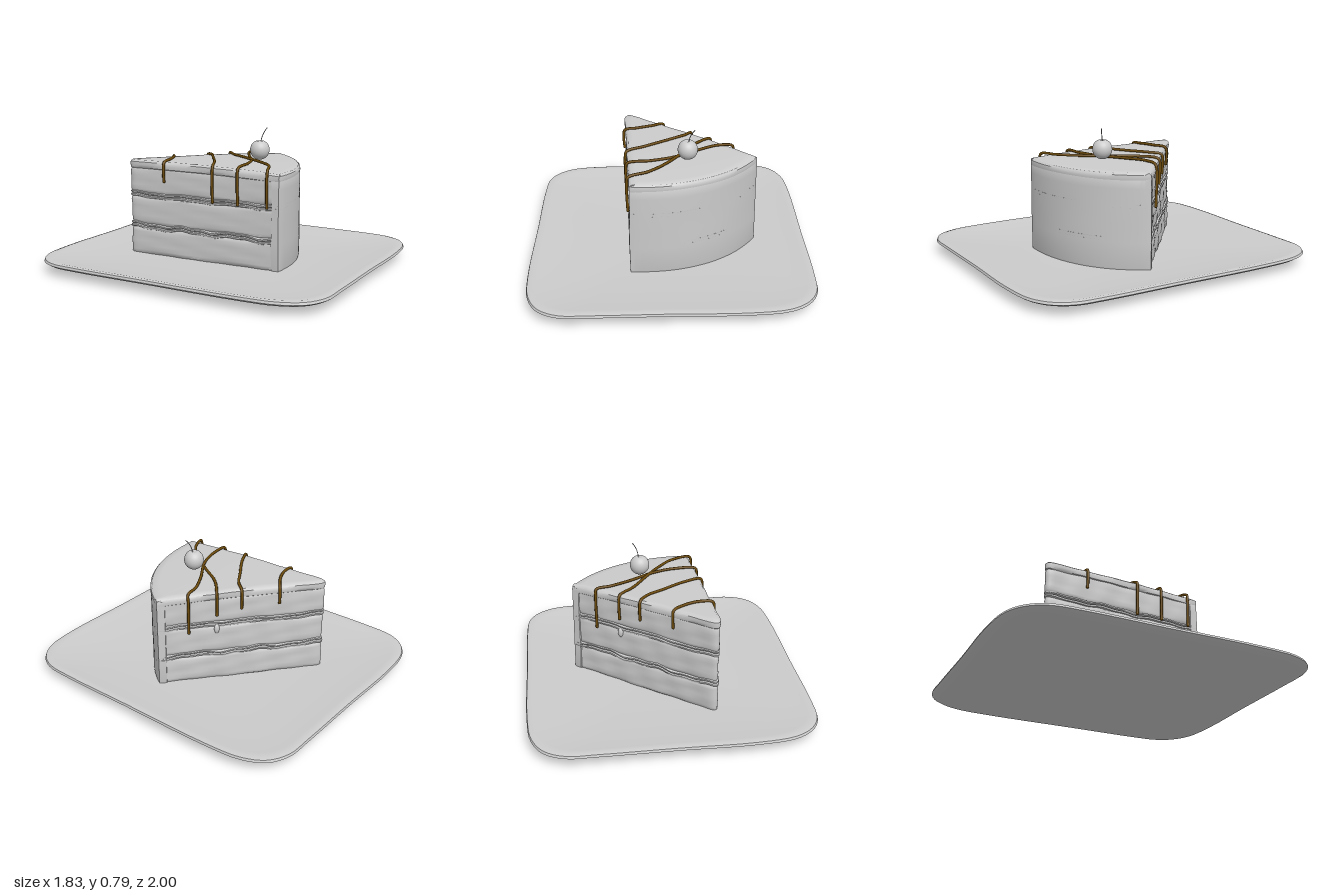
import * as THREE from 'three';
import { toCreasedNormals } from 'three/addons/utils/BufferGeometryUtils.js';

const grey = new THREE.MeshStandardMaterial({ color: 0xcccccc });
const syrup = new THREE.MeshStandardMaterial({ color: 0x6b4a0c });

// Virtual tip of the slice and the directions of its two cut sides
const TIP = new THREE.Vector2(-0.386, -0.469);
const ANGLE_A = THREE.MathUtils.degToRad(25.8);
const ANGLE_B = THREE.MathUtils.degToRad(73.6);
const dir = (a) => new THREE.Vector2(Math.cos(a), Math.sin(a));
const at = (r, a) => dir(a).multiplyScalar(r).add(TIP);

// Skin closed rings of equal length, listed from the bottom to the top
function loft(rings, crease = 0.7) {
  const n = rings[0].length, index = [];
  const pos = rings.flat().flatMap((p) => [p.x, p.y, p.z]);
  for (let i = 0; i < rings.length - 1; i++) {
    for (let j = 0; j < n; j++) {
      const k = (j + 1) % n, a = i * n + j, b = i * n + k;
      if (rings[i + 1][j].distanceTo(rings[i + 1][k]) > 1e-6) index.push(a + n, b + n, b);
      if (rings[i][j].distanceTo(rings[i][k]) > 1e-6) index.push(a, a + n, b);
    }
  }
  const geo = new THREE.BufferGeometry();
  geo.setAttribute('position', new THREE.Float32BufferAttribute(pos, 3));
  geo.setIndex(index);
  return toCreasedNormals(geo, crease);
}

function add(group, name, geometry, material = grey) {
  const mesh = new THREE.Mesh(geometry, material);
  mesh.name = name;
  group.add(mesh);
  return mesh;
}

// Slice outline as points with outward normals; `side` marks the cut faces
function sliceOutline(r0 = 0.08) {
  const out = [], N = 28, nA = dir(ANGLE_A - Math.PI / 2), nB = dir(ANGLE_B + Math.PI / 2);
  const p0 = at(r0, ANGLE_B), p1 = at(r0, ANGLE_A);
  const ctrl = r0 < 0.2 ? TIP : p0.clone().lerp(p1, 0.5);
  const nose = new THREE.QuadraticBezierCurve(p0, ctrl, p1);
  for (let i = 1; i < 8; i++) {
    out.push({ p: nose.getPoint(i / 8), n: nB.clone().lerp(nA, i / 8).normalize(), side: 1 });
  }
  for (let i = 0; i <= N; i++) out.push({ p: at(r0 + (0.982 - r0) * i / N, ANGLE_A), n: nA, side: 1 });
  for (let i = 1; i < N; i++) {
    const t = i / N, a = ANGLE_A + (ANGLE_B - ANGLE_A) * t;
    out.push({ p: at(0.982 + 0.03 * Math.sin(Math.PI * t), a), n: dir(a), side: 0 });
  }
  for (let i = N; i >= 0; i--) out.push({ p: at(r0 + (0.982 - r0) * i / N, ANGLE_B), n: nB, side: 1 });
  return out;
}

// Solid with the slice outline; rows are [height, outward offset]
function slice(rows, { r0, wave = 0, rough = 0, dome = 0 } = {}) {
  const outline = sliceOutline(r0);
  const mid = r0 ? new THREE.Vector2(0.25, 0.26) : new THREE.Vector2(0.02, 0.02);
  const ring = ([y, off], s = 1) => outline.map(({ p, n, side }) => {
    const u = p.x * 9 + p.y * 13;
    const push = off + rough * (side
      ? Math.sin(u * 1.7 + y * 31) * Math.cos(u * 0.8 - y * 47)
      : 0.5 * Math.sin(u * 0.9 + y * 14) * Math.cos(p.x * 11 - y * 9));
    const q = n.clone().multiplyScalar(push).add(p).sub(mid).multiplyScalar(s).add(mid);
    const drop = dome * Math.pow(q.distanceTo(TIP), 4);
    const lift = wave * side * (Math.sin(u * 1.3) + 0.6 * Math.sin(u * 2.9 + 1));
    return new THREE.Vector3(q.x, y + lift - drop, q.y);
  });
  const last = rows[rows.length - 1];
  return loft([ring(rows[0], 0), ...rows.map((r) => ring(r)),
    ...[0.9, 0.6, 0.3, 0].map((s) => ring(last, s))]);
}

// Shallow square plate with generous corners, turned on its axis
function plateGeometry() {
  const half = [[0.2, -0.965], [0.36, -1], [0.48, -0.97], [0.57, -0.87], [0.64, -0.68], [0.78, -0.12],
    [0.89, 0.32], [0.915, 0.48], [0.885, 0.59], [0.8, 0.68], [0.6, 0.76], [0.2, 0.86]];
  const pts = [...half, ...half.map(([x, z]) => [-x, -z])].map(([x, z]) => new THREE.Vector3(x, 0, z));
  const outline = new THREE.CatmullRomCurve3(pts, true).getPoints(96).slice(0, -1);
  const profile = [[0, 0], [0.4, 0.006], [0.7, 0.021], [0.9, 0.038], [0.98, 0.048], [1, 0.06],
    [0.995, 0.073], [0.975, 0.078], [0.94, 0.074], [0.8, 0.062], [0.5, 0.05], [0, 0.045]];
  return loft(profile.map(([s, y]) => outline.map((p) => new THREE.Vector3(p.x * s, y, p.z * s))), 0.9);
}

// Syrup line across the top that runs down both cut sides
function drizzle(points, endLeft, endRight) {
  const v = (p, y, a, out) => {
    const n = dir(a).multiplyScalar(out);
    return new THREE.Vector3(p[0] + n.x, y, p[1] + n.y);
  };
  const first = points[0], last = points[points.length - 1];
  const left = ANGLE_B + Math.PI / 2, right = ANGLE_A - Math.PI / 2;
  const path = new THREE.CatmullRomCurve3([
    v(first, endLeft, left, 0.01), v(first, 0.56, left, 0.014), v(first, 0.6, left, 0.006),
    ...points.slice(1, -1).map(([x, z]) => new THREE.Vector3(x, 0.61, z)),
    v(last, 0.6, right, 0.006), v(last, 0.56, right, 0.014), v(last, endRight, right, 0.01),
  ], false, 'centripetal');
  return [path, new THREE.TubeGeometry(path, 90, 0.008, 8)];
}

export function createModel() {
  const model = new THREE.Group();
  model.name = 'cakeSliceOnPlate';
  add(model, 'plate', plateGeometry());

  const cake = new THREE.Group();
  cake.name = 'cakeSlice';
  model.add(cake);

  // Three sponge layers
  for (const [y0, y1] of [[0.045, 0.21], [0.22, 0.395], [0.405, 0.57]]) {
    const rows = [[y0, -0.014], [y0 + 0.012, -0.003]];
    for (let i = 1; i < 6; i++) rows.push([y0 + (y1 - y0) * i / 6, 0]);
    rows.push([y1 - 0.012, -0.003], [y1, -0.014]);
    add(cake, 'spongeLayer', slice(rows, { rough: 0.004 }));
  }

  // Wavy cream fillings that squeeze out between the layers
  for (const [y, wave] of [[0.215, 0.007], [0.4, 0.004]]) {
    add(cake, 'creamFilling', slice([[y - 0.02, -0.012], [y - 0.014, 0.003], [y - 0.004, 0.005],
      [y, -0.004], [y + 0.006, 0.004], [y + 0.014, 0.005], [y + 0.022, -0.012]], { wave, rough: 0.003 }));
  }
  const blob = add(cake, 'creamDrop', new THREE.SphereGeometry(0.016, 14, 10));
  blob.scale.set(1, 1.8, 0.8);
  blob.position.set(0.2, 0.37, -0.186);

  // Icing over the top and around the curved back
  add(cake, 'topIcing', slice([[0.55, -0.008], [0.558, 0.003], [0.575, 0.006], [0.592, 0.003], [0.602, -0.01]],
    { rough: 0.003, dome: 0.018 }));
  add(cake, 'backIcing', slice([[0.045, 0], [0.06, 0.004], [0.2, 0.005], [0.3, 0.005], [0.4, 0.005],
    [0.5, 0.005], [0.57, 0.004], [0.582, -0.006]], { r0: 0.94, rough: 0.003 }));

  // Syrup lines with rounded ends
  const lines = [
    [[[-0.311, -0.21], [-0.25, -0.23], [-0.17, -0.285], [-0.118, -0.34]], 0.49, 0.5],
    [[[-0.222, 0.09], [-0.14, 0.02], [-0.03, -0.1], [0.05, -0.19], [0.075, -0.246]], 0.4, 0.49],
    [[[-0.178, 0.24], [-0.06, 0.2], [0.05, 0.13], [0.17, 0], [0.27, -0.09], [0.343, -0.116]], 0.4, 0.365],
    [[[-0.128, 0.41], [-0.04, 0.34], [0.03, 0.22], [0.09, 0.06], [0.14, -0.09], [0.2, -0.185]], 0.4, 0.46],
  ];
  for (const line of lines) {
    const [path, tube] = drizzle(...line);
    add(cake, 'syrupLine', tube, syrup);
    for (const t of [0, 1]) {
      add(cake, 'syrupDrop', new THREE.SphereGeometry(0.0085, 10, 8), syrup).position.copy(path.getPoint(t));
    }
  }

  // Cherry with a dimple at the stem
  const profile = [];
  for (let i = 0; i <= 24; i++) {
    const a = -Math.PI / 2 + Math.PI * i / 24, r = 0.056 * Math.cos(a);
    profile.push(new THREE.Vector2(Math.max(r, 0), 0.057 * Math.sin(a) - 0.01 * Math.exp(-Math.pow(r / 0.015, 2)) * (a > 0 ? 1 : 0)));
  }
  const cherry = new THREE.Group();
  cherry.name = 'cherry';
  cherry.position.set(0.132, 0.66, 0.118);
  add(cherry, 'cherryFruit', new THREE.LatheGeometry(profile, 32));
  const stem = new THREE.CatmullRomCurve3([[0.005, 0.04, 0], [0.013, 0.075, 0.006], [0.027, 0.105, 0.012], [0.044, 0.126, 0.018]]
    .map((p) => new THREE.Vector3(...p)));
  add(cherry, 'cherryStem', new THREE.TubeGeometry(stem, 16, 0.0025, 6));
  model.add(cherry);

  return model;
}
